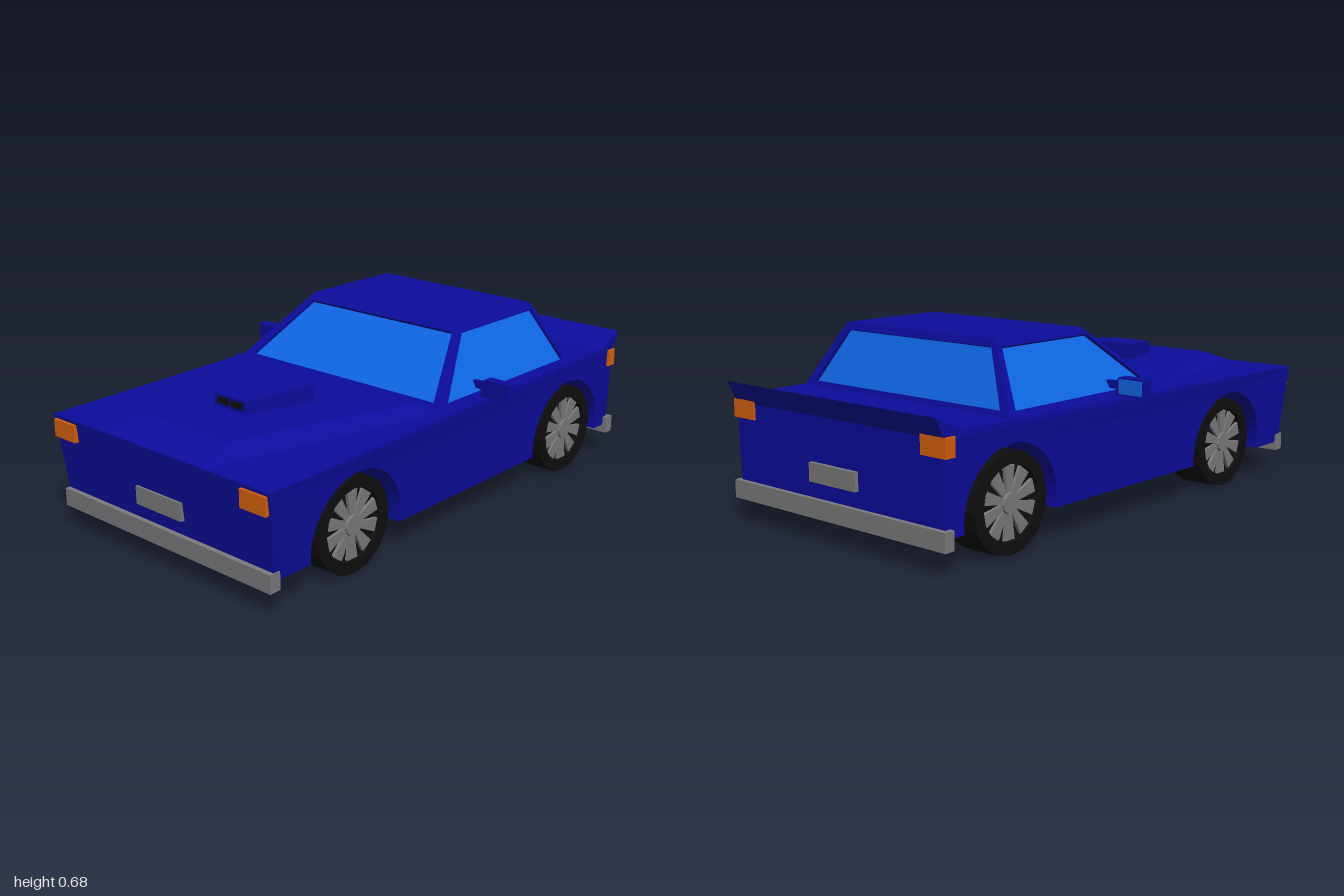
import * as THREE from 'three';

const mat = (name, color) => {
  const m = new THREE.MeshStandardMaterial({ color });
  m.name = name;
  return m;
};

// Flat-shaded geometry from a list of four-cornered faces
function quads(list) {
  const pos = [];
  for (const [a, b, c, d] of list) for (const p of [a, b, c, a, c, d]) pos.push(...p);
  const g = new THREE.BufferGeometry();
  g.setAttribute('position', new THREE.Float32BufferAttribute(pos, 3));
  g.computeVertexNormals();
  return g;
}

// Flat normals for any geometry
function flat(g) {
  const f = g.index ? g.toNonIndexed() : g;
  f.computeVertexNormals();
  return f;
}

// Four corners, symmetric in x, from a front and a back edge [halfWidth, y, z]
const ring = ([fx, fy, fz], [bx, by, bz]) =>
  [[fx, fy, fz], [bx, by, bz], [-bx, by, bz], [-fx, fy, fz]];
const sides = (lo, hi) => lo.map((p, i) => [p, lo[(i + 1) % 4], hi[(i + 1) % 4], hi[i]]);

export function createModel() {
  const paint = mat('bodyPaint', 0x0c0c9c);
  const glass = mat('glass', 0x0f66e4);
  const orange = mat('lampOrange', 0xd4600e);
  const grey = mat('metalGrey', 0x7a7a7c);
  const black = mat('tyreBlack', 0x0e0e0e);

  const car = new THREE.Group();
  car.name = 'car';
  const add = (name, geo, material, parent = car) => {
    const m = new THREE.Mesh(geo, material);
    m.name = name;
    parent.add(m);
    return m;
  };
  const box = (name, material, x0, x1, y0, y1, z0, z1, parent) =>
    add(name, new THREE.BoxGeometry(Math.abs(x1 - x0), y1 - y0, z1 - z0), material, parent)
      .position.set((x0 + x1) / 2, (y0 + y1) / 2, (z0 + z1) / 2);

  // Body: side profile with a rear lip, wheel arches only in the outer sections
  const axles = [-0.655, 0.575];
  const inner = 0.34;
  const profile = (arches) => {
    const s = new THREE.Shape();
    s.moveTo(0.957, 0.115);
    for (const [z, y] of [[0.99, 0.425], [0.14, 0.447], [-0.88, 0.447], [-1, 0.5], [-0.96, 0.425], [-0.957, 0.115]])
      s.lineTo(z, y);
    if (arches) for (const z of axles) s.absarc(z, 0.15, 0.22, Math.PI + 0.16, -0.16, true);
    s.closePath();
    return s;
  };
  const slab = (arches) => new THREE.ExtrudeGeometry(profile(arches), { depth: 1, bevelEnabled: false, curveSegments: 14 })
    .rotateY(-Math.PI / 2);
  const halfWidth = (y, z) => {
    const t = ((z + 1) / 2) ** 2;
    const bottom = 0.497 + 0.013 * t, top = 0.505 + 0.03 * t;
    return bottom + (top - bottom) * Math.min(1, (y - 0.115) / 0.31);
  };
  add('bodyCentre', slab(false).translate(0.5, 0, 0).scale(inner * 2, 1, 1), paint);
  for (const s of [1, -1]) {
    const g = slab(true);
    if (s > 0) g.translate(1, 0, 0);
    const p = g.attributes.position;
    for (let i = 0; i < p.count; i++) {
      const out = Math.abs(p.getX(i));
      p.setX(i, s * (inner + out * (halfWidth(p.getY(i), p.getZ(i)) - inner)));
    }
    add(s > 0 ? 'bodyLeft' : 'bodyRight', flat(g), paint);
  }

  // Raised bonnet panel
  const bonnetLow = ring([0.24, 0.424, 0.99], [0.5, 0.446, 0.14]);
  const bonnetTop = ring([0.21, 0.47, 0.86], [0.44, 0.486, 0.2]);
  add('bonnet', quads([...sides(bonnetLow, bonnetTop), bonnetTop]), paint);

  // Air scoop with two openings
  const scoopLow = ring([0.08, 0.465, 0.65], [0.16, 0.465, 0.41]);
  const scoopTop = ring([0.08, 0.522, 0.65], [0.16, 0.542, 0.41]);
  add('scoop', quads([...sides(scoopLow, scoopTop), scoopTop]), paint);
  for (const s of [1, -1]) box('scoopOpening', black, s * 0.006, s * 0.062, 0.488, 0.511, 0.646, 0.653);

  // Cabin: roof plus four framed, recessed windows
  const cabinLow = ring([0.5, 0.445, 0.14], [0.5, 0.445, -0.665]);
  const cabinTop = ring([0.36, 0.677, -0.145], [0.36, 0.677, -0.575]);
  add('roof', quads([cabinTop]), paint);
  const names = ['leftWindow', 'rearWindow', 'rightWindow', 'windscreen'];
  sides(cabinLow, cabinTop).forEach((face, i) => {
    const [a, b, c, d] = face.map((p) => new THREE.Vector3(...p));
    const at = (u, v) => a.clone().lerp(b, u).lerp(d.clone().lerp(c, u), v);
    const normal = b.clone().sub(a).cross(d.clone().sub(a)).normalize();
    const rim = [at(0.04, 0.09), at(0.96, 0.09), at(0.96, 0.89), at(0.04, 0.89)];
    const pane = rim.map((p) => p.clone().addScaledVector(normal, -0.012).toArray());
    const rimPts = rim.map((p) => p.toArray());
    add(names[i] + 'Frame', quads([...sides(face, rimPts), ...sides(rimPts, pane)]), paint);
    add(names[i], quads([pane]), glass);
  });

  // Bumpers and number plates
  box('frontBumper', grey, -0.515, 0.515, 0.083, 0.148, 0.935, 0.979);
  box('rearBumper', grey, -0.515, 0.515, 0.083, 0.148, -0.975, -0.935);
  box('frontPlate', grey, -0.112, 0.112, 0.205, 0.27, 0.955, 0.982);
  box('rearPlate', grey, -0.112, 0.112, 0.205, 0.27, -0.974, -0.95);

  for (const s of [1, -1]) {
    // Lamps
    box('headlamp', orange, s * 0.41, s * 0.522, 0.348, 0.412, 0.97, 0.999);
    box('tailLamp', orange, s * 0.405, s * 0.514, 0.37, 0.435, -0.967, -0.925);

    // Door mirror
    const mirror = new THREE.Group();
    mirror.name = s > 0 ? 'leftMirror' : 'rightMirror';
    car.add(mirror);
    const shape = new THREE.Shape([[0.5, 0.45], [0.62, 0.45], [0.62, 0.515], [0.515, 0.515], [0.5, 0.5]]
      .map(([x, y]) => new THREE.Vector2(s * x, y)));
    add('mirrorHousing', new THREE.ExtrudeGeometry(shape, { depth: 0.04, bevelEnabled: false })
      .translate(0, 0, -0.125), paint, mirror);
    box('mirrorArm', paint, s * 0.45, s * 0.51, 0.472, 0.498, -0.12, -0.1, mirror);
    box('mirrorGlass', glass, s * 0.515, s * 0.612, 0.457, 0.508, -0.129, -0.124, mirror);
  }

  // Wheels: recessed tyre, ten tapered spokes and a hub
  const tyre = flat(new THREE.LatheGeometry(
    [[0, -0.07], [0.172, -0.07], [0.172, 0.07], [0.13, 0.07], [0.126, 0.05], [0, 0.05]]
      .map(([r, h]) => new THREE.Vector2(r, h)), 16).rotateZ(-Math.PI / 2));
  const spoke = new THREE.ExtrudeGeometry(new THREE.Shape([[-0.01, 0.03], [0.01, 0.03], [0.024, 0.122], [-0.024, 0.122]]
    .map(([x, y]) => new THREE.Vector2(x, y))), { depth: 0.014, bevelEnabled: false })
    .rotateY(Math.PI / 2).translate(0.048, 0, 0);
  const hub = flat(new THREE.CylinderGeometry(0.036, 0.042, 0.03, 12).rotateZ(-Math.PI / 2).translate(0.056, 0, 0));
  for (const z of axles) for (const s of [1, -1]) {
    const wheel = new THREE.Group();
    wheel.name = (z > 0 ? 'front' : 'rear') + (s > 0 ? 'Left' : 'Right') + 'Wheel';
    add('tyre', tyre, black, wheel);
    add('hub', hub, grey, wheel);
    for (let i = 0; i < 10; i++) add('spoke', spoke, grey, wheel).rotation.x = (i * Math.PI) / 5;
    wheel.position.set(s * 0.425, 0.172, z);
    if (s < 0) wheel.rotation.y = Math.PI;
    car.add(wheel);
  }
  return car;
}
